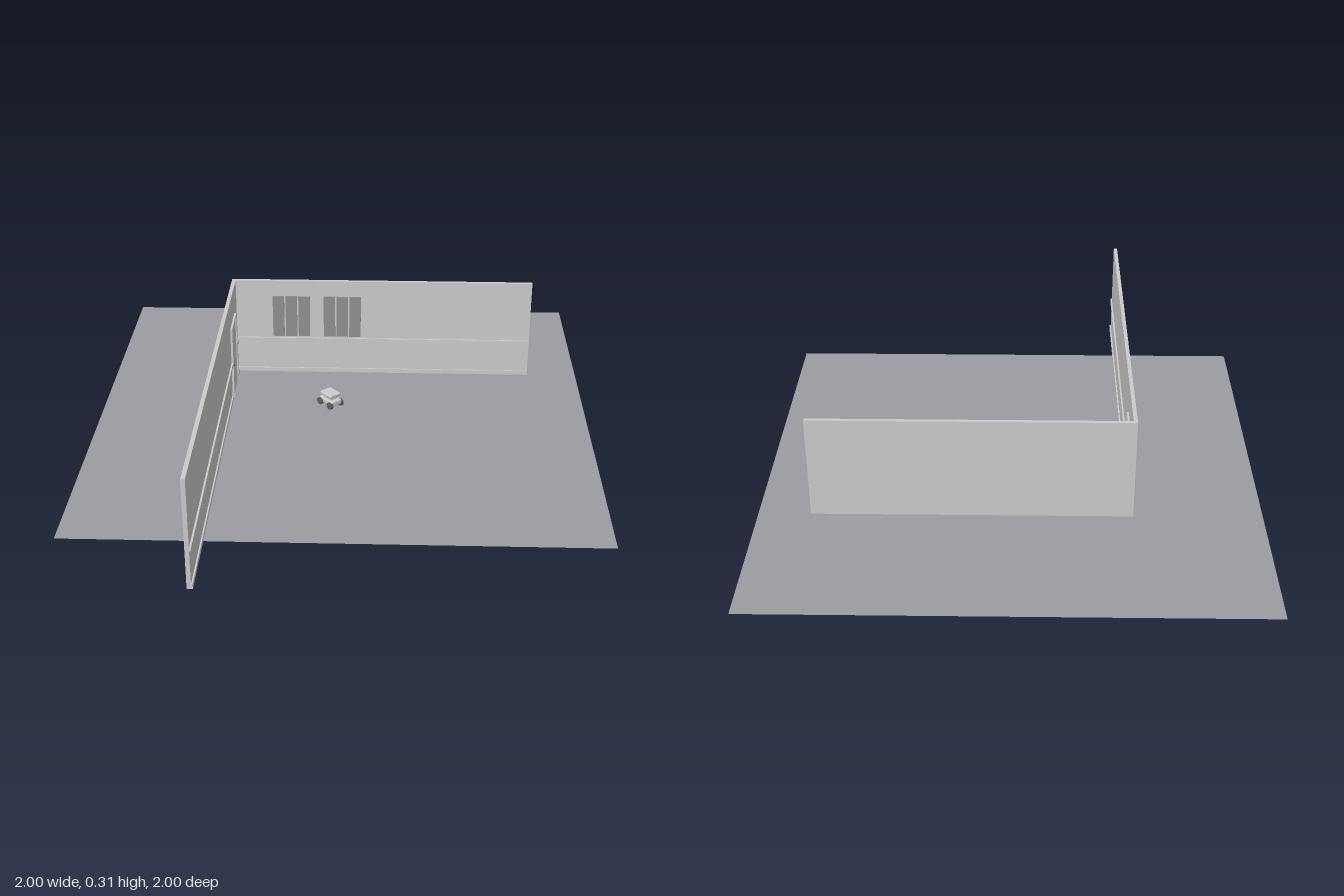
import * as THREE from 'three';
import { RoundedBoxGeometry } from 'three/addons/geometries/RoundedBoxGeometry.js';

const mat = (name, color, side = THREE.FrontSide) => {
  const m = new THREE.MeshStandardMaterial({ color, side });
  m.name = name;
  return m;
};

export function createModel() {
  const wallMat = mat('wall grey', 0xcccccc);
  const floorMat = mat('floor grey', 0x9b9ca0, THREE.DoubleSide);
  const paneMat = mat('pane grey', 0x909090);
  const darkMat = mat('dark grey', 0x606060);

  const model = new THREE.Group();
  model.name = 'roomCorner';
  const room = new THREE.Group();
  room.name = 'room';
  room.rotation.y = 0.8355;
  model.add(room);

  // box given by its two opposite corners
  const box = (parent, name, m, x0, x1, y0, y1, z0, z1) => {
    const mesh = new THREE.Mesh(new THREE.BoxGeometry(x1 - x0, y1 - y0, z1 - z0), m);
    mesh.position.set((x0 + x1) / 2, (y0 + y1) / 2, (z0 + z1) / 2);
    mesh.name = name;
    parent.add(mesh);
    return mesh;
  };

  // floor
  const floor = new THREE.Mesh(new THREE.PlaneGeometry(1.416, 1.416), floorMat);
  floor.name = 'floor';
  floor.rotation.x = -Math.PI / 2;
  floor.position.y = 0.001;
  room.add(floor);

  // two walls meeting in a corner
  const H = 0.305, X0 = -0.345, Z0 = -0.255, T = 0.011, X1 = 0.56, Z1 = 0.911;
  const xi = X0 + T, zi = Z0 + T;
  box(room, 'windowWall', wallMat, X0, X1, 0, H, Z0, zi);
  box(room, 'doorWall', wallMat, X0, xi, 0, H, zi, Z1);

  // baseboard and chair rail, interrupted at the door
  const d0 = -0.18, d1 = -0.061;
  for (const [name, y0, y1, out] of [['baseboard', 0, 0.014, 0.004], ['chairRail', 0.108, 0.117, 0.005]]) {
    box(room, name, wallMat, xi, X1, y0, y1, zi, zi + out);
    box(room, name, wallMat, xi, xi + out, y0, y1, zi, d0);
    box(room, name, wallMat, xi, xi + out, y0, y1, d1, Z1);
  }

  // door with its frame and handle
  box(room, 'door', wallMat, xi, xi + 0.003, 0, 0.218, d0 + 0.006, d1 - 0.006);
  box(room, 'doorFrame', wallMat, xi, xi + 0.006, 0, 0.226, d0, d0 + 0.006);
  box(room, 'doorFrame', wallMat, xi, xi + 0.006, 0, 0.226, d1 - 0.006, d1);
  box(room, 'doorFrame', wallMat, xi, xi + 0.006, 0.218, 0.226, d0 + 0.006, d1 - 0.006);
  box(room, 'doorHandle', darkMat, xi, xi + 0.008, 0.1, 0.104, d1 - 0.022, d1 - 0.01);

  // two windows of three panes
  for (const wx of [-0.223, -0.068]) {
    for (let i = 0; i < 3; i++) {
      const x = wx + i * 0.039;
      box(room, 'windowPane', paneMat, x, x + 0.035, 0.123, 0.255, zi, zi + 0.004);
    }
  }

  // small wheeled machine on the floor
  const rover = new THREE.Group();
  rover.name = 'rover';
  rover.position.set(-0.047, 0, 0.011);
  model.add(rover);
  const rounded = (name, w, h, d, y, r) => {
    const mesh = new THREE.Mesh(new RoundedBoxGeometry(w, h, d, 2, r), wallMat);
    mesh.name = name;
    mesh.position.y = y;
    rover.add(mesh);
  };
  rounded('roverBody', 0.06, 0.016, 0.038, 0.017, 0.004);
  rounded('roverNeck', 0.034, 0.012, 0.024, 0.028, 0.003);
  rounded('roverDeck', 0.05, 0.011, 0.04, 0.039, 0.004);
  for (const sx of [-1, 1]) for (const sz of [-1, 1]) {
    const wheel = new THREE.Mesh(new THREE.CylinderGeometry(0.011, 0.011, 0.008, 16), darkMat);
    wheel.name = 'roverWheel';
    wheel.rotation.x = Math.PI / 2;
    wheel.position.set(sx * 0.022, 0.012, sz * 0.02);
    rover.add(wheel);
  }
  return model;
}
